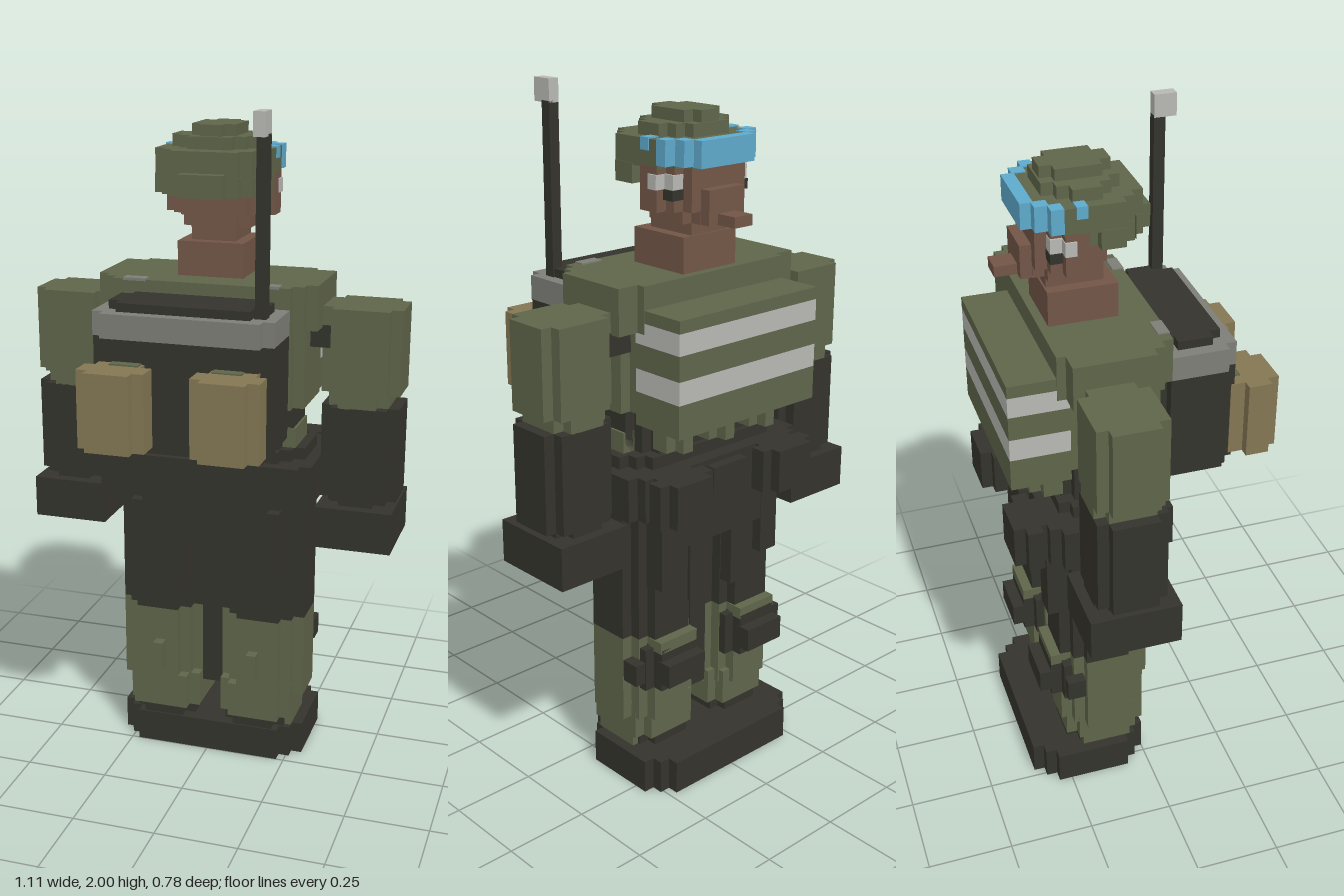
import * as THREE from 'three';

const V = 0.0325; // one voxel

const mat = (name, color) => {
  const m = new THREE.MeshStandardMaterial({ color });
  m.name = name;
  return m;
};

export function createModel() {
  const root = new THREE.Group();
  root.name = 'soldier';
  const olive = mat('olive cloth', 0x5f654a);
  const dark = mat('dark cloth', 0x34332c);
  const skin = mat('skin', 0x725647);
  const tan = mat('tan pouch', 0x837653);
  const grey = mat('grey trim', 0x7e7e78);
  const light = mat('light grey', 0xb8b8b3);
  const blue = mat('goggle blue', 0x5eaacb);

  // Upright slab from x, y, z ranges, with corners cut in voxel steps
  function slab(name, m, x, y, z, steps = 0) {
    const x0 = x[0], x1 = x[1], z0 = z[0], z1 = z[1];
    const corner = [];
    for (let i = 0; i <= steps; i++) {
      corner.push([i * V, (steps - i) * V]);
      if (i < steps) corner.push([(i + 1) * V, (steps - i) * V]);
    }
    const back = [...corner].reverse();
    const pts = [
      ...corner.map(([a, b]) => [x0 + a, z0 + b]),
      ...back.map(([a, b]) => [x1 - a, z0 + b]),
      ...corner.map(([a, b]) => [x1 - a, z1 - b]),
      ...back.map(([a, b]) => [x0 + a, z1 - b]),
    ];
    const shape = new THREE.Shape(pts.map(([a, b]) => new THREE.Vector2(a, -b)));
    const g = new THREE.ExtrudeGeometry(shape, { depth: y[1] - y[0], bevelEnabled: false });
    g.rotateX(-Math.PI / 2);
    g.translate(0, y[0], 0);
    const mesh = new THREE.Mesh(g, m);
    mesh.name = name;
    root.add(mesh);
  }
  // The same slab on the left (+x) and the right
  function pair(name, m, x, y, z, steps = 0) {
    slab(name + 'Left', m, x, y, z, steps);
    slab(name + 'Right', m, [-x[1], -x[0]], y, z, steps);
  }

  // Boots
  slab('boots', dark, [-0.292, 0.292], [0, 0.1], [-0.355, 0], 2);
  pair('bootAnkle', dark, [0.05, 0.24], [0.1, 0.145], [-0.24, -0.005], 1);

  // Legs
  pair('shin', olive, [0.035, 0.26], [0.13, 0.24], [-0.245, 0], 1);
  pair('cuffFold', olive, [0.22, 0.26], [0.1, 0.14], [-0.2, -0.05]);
  pair('lowerLeg', olive, [0.03, 0.292], [0.2, 0.465], [-0.26, 0], 2);
  pair('calfStrap', olive, [0.135, 0.165], [0.265, 0.36], [-0.01, 0.033]);
  pair('thigh', dark, [0.03, 0.292], [0.465, 0.86], [-0.26, 0], 2);
  slab('innerSeam', dark, [-0.031, 0.031], [0.21, 0.86], [-0.2, -0.06]);
  slab('hips', dark, [-0.292, 0.292], [0.74, 0.87], [-0.29, 0.033], 3);
  pair('thighFoldOuter', dark, [0.165, 0.23], [0.63, 0.83], [-0.292, 0.033]);
  pair('thighFoldInner', dark, [0.065, 0.1], [0.55, 0.8], [-0.27, 0.01]);

  // Knee pads
  pair('kneePad', dark, [0.06, 0.26], [0.31, 0.44], [-0.29, -0.2], 1);
  pair('kneeCap', dark, [0.09, 0.23], [0.335, 0.405], [-0.325, -0.28]);
  pair('kneeTop', olive, [0.09, 0.23], [0.43, 0.465], [-0.29, -0.24]);
  pair('kneeStrap', dark, [0.23, 0.294], [0.335, 0.4], [-0.255, -0.2]);

  // Belt with pouches
  slab('belt', dark, [-0.325, 0.325], [0.86, 0.985], [-0.295, 0.065], 1);
  pair('beltPouch', dark, [0.1, 0.295], [0.86, 0.985], [-0.39, -0.28], 1);
  slab('buckle', dark, [-0.065, 0.065], [0.88, 0.97], [-0.325, -0.28]);
  slab('waist', dark, [-0.29, 0.29], [0.985, 1.02], [-0.25, 0.03], 2);

  // Torso
  slab('lowerTorso', dark, [-0.255, 0.255], [1.01, 1.15], [-0.235, 0.033], 2);
  slab('torsoHem', olive, [-0.262, 0.262], [1.02, 1.08], [-0.17, -0.03]);
  slab('upperTorso', olive, [-0.292, 0.292], [1.15, 1.39], [-0.26, 0.065], 2);
  slab('shoulders', olive, [-0.327, 0.327], [1.38, 1.51], [-0.255, 0.065], 2);
  pair('shoulderEdge', olive, [0.25, 0.327], [1.38, 1.51], [-0.23, 0]);
  pair('armpitStrap', dark, [0.26, 0.35], [1.32, 1.385], [-0.2, -0.06]);

  // Arms and hands
  pair('sleeveCap', olive, [0.327, 0.557], [1.19, 1.44], [-0.23, -0.033], 1);
  pair('sleeveCuff', olive, [0.35, 0.525], [1.15, 1.2], [-0.23, -0.033], 1);
  pair('forearm', dark, [0.33, 0.557], [0.87, 1.152], [-0.23, -0.033], 1);
  pair('wrist', dark, [0.36, 0.525], [0.85, 0.88], [-0.23, -0.033], 1);
  pair('hand', dark, [0.33, 0.557], [0.73, 0.855], [-0.26, 0]);

  // Chest rig in layers, striped on front and sides
  [[1.12, 1.215, olive], [1.215, 1.28, light], [1.28, 1.35, olive],
    [1.35, 1.41, light], [1.41, 1.445, olive]].forEach(([a, b, m], i) =>
    slab('chestRig' + i, m, [-0.26, 0.26], [a, b], [-0.39, -0.22]));
  for (const x of [-0.16, 0, 0.16]) {
    slab('magazine', olive, [x - 0.05, x + 0.05], [1.04, 1.125], [-0.32, -0.2], 1);
  }

  // Backpack
  slab('packBottom', dark, [-0.235, 0.235], [1.05, 1.09], [0.03, 0.23]);
  slab('packBody', dark, [-0.26, 0.26], [1.08, 1.38], [0.03, 0.26], 1);
  slab('packBand', grey, [-0.262, 0.262], [1.38, 1.45], [0.03, 0.26], 1);
  slab('packLid', dark, [-0.225, 0.225], [1.45, 1.475], [0.06, 0.225], 1);
  pair('strapEnd', grey, [0.162, 0.23], [1.506, 1.514], [0.033, 0.066]);
  pair('packPouch', tan, [0.065, 0.26], [1.09, 1.315], [0.26, 0.393], 1);
  pair('pouchBack', tan, [0.1, 0.23], [1.09, 1.315], [0.25, 0.3]);
  pair('pouchPatch', olive, [0.105, 0.19], [1.312, 1.319], [0.262, 0.292]);

  // Radio antenna
  slab('antenna', dark, [0.198, 0.23], [1.4, 1.94], [0.165, 0.198]);
  slab('antennaTip', light, [0.197, 0.23], [1.935, 2], [0.165, 0.23]);

  // Neck and face
  slab('neck', skin, [-0.098, 0.098], [1.5, 1.61], [-0.23, -0.033]);
  slab('upperNeck', skin, [-0.065, 0.065], [1.6, 1.66], [-0.225, -0.065]);
  slab('jaw', skin, [-0.1, 0.1], [1.645, 1.69], [-0.26, -0.065], 1);
  slab('face', skin, [-0.163, 0.163], [1.68, 1.8], [-0.26, -0.065], 2);
  slab('mouth', skin, [-0.065, 0.065], [1.645, 1.74], [-0.292, -0.25]);
  slab('chin', skin, [-0.033, 0.033], [1.645, 1.675], [-0.355, -0.28]);
  pair('eyeSide', light, [0.1, 0.137], [1.715, 1.78], [-0.229, -0.19]);
  pair('eyeCorner', light, [0.13, 0.168], [1.74, 1.78], [-0.197, -0.165]);
  pair('eyePupil', dark, [0.1, 0.14], [1.712, 1.74], [-0.231, -0.195]);

  // Helmet in rising layers
  slab('helmetNeckGuard', olive, [-0.13, 0.13], [1.745, 1.81], [-0.06, 0.065], 2);
  slab('helmetRim', olive, [-0.165, 0.165], [1.745, 1.8], [-0.165, 0.033], 2);
  slab('helmetBody', olive, [-0.163, 0.163], [1.795, 1.87], [-0.262, 0.033], 2);
  slab('helmetCrown', olive, [-0.13, 0.13], [1.87, 1.905], [-0.23, -0.02], 2);
  slab('helmetTop', olive, [-0.065, 0.065], [1.905, 1.937], [-0.225, -0.033], 1);

  // Goggles curved round the helmet front
  slab('goggleLens', blue, [-0.098, 0.098], [1.8, 1.872], [-0.295, -0.259]);
  pair('goggleBend', blue, [0.095, 0.132], [1.803, 1.873], [-0.266, -0.227]);
  pair('goggleSide', blue, [0.128, 0.167], [1.805, 1.874], [-0.232, -0.197]);
  pair('goggleClip', blue, [0.13, 0.167], [1.84, 1.874], [-0.165, -0.135]);

  return root;
}
